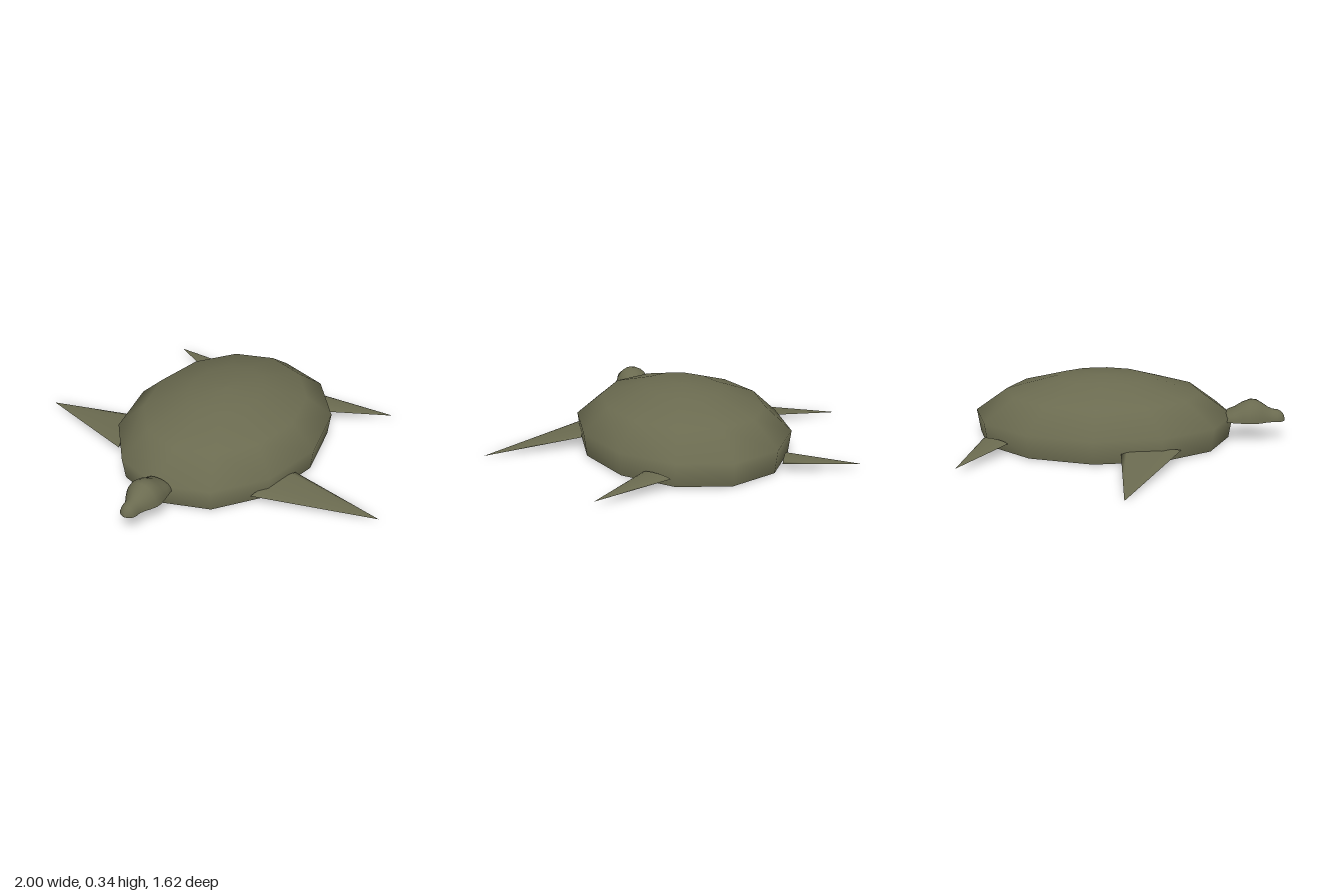
import * as THREE from 'three';

const V = (x, y, z) => new THREE.Vector3(x, y, z);

// Skin a list of equal-length rings; optional fan cap over the first ring
function loft(rings, cap) {
  const n = rings[0].length;
  const pts = rings.flat();
  const idx = [];
  for (let i = 0; i < rings.length - 1; i++) {
    for (let j = 0; j < n - 1; j++) {
      const a = i * n + j, b = a + 1, c = a + n, d = c + 1;
      idx.push(a, c, b, b, c, d);
    }
  }
  if (cap) {
    const start = pts.length;
    pts.push(cap, ...rings[0]);
    for (let j = 1; j < n; j++) idx.push(start, start + j, start + j + 1);
  }
  const g = new THREE.BufferGeometry().setFromPoints(pts);
  g.setIndex(idx);
  g.computeVertexNormals();
  return g;
}

// Thin tapering flipper with a lens-shaped root, side = 1 or -1
function flipper(front, rear, tip, thick, side) {
  const mid = front.clone().add(rear).multiplyScalar(0.5);
  const half = front.clone().sub(mid);
  const rings = [0, 0.5, 0.995].map((t) => {
    const ring = [];
    for (let j = 0; j <= 10; j++) {
      const a = side * j / 10 * Math.PI * 2;
      const p = mid.clone().addScaledVector(half, Math.cos(a));
      p.y += thick * Math.sin(a);
      p.lerp(tip, t);
      p.x *= side;
      ring.push(p);
    }
    return ring;
  });
  return loft(rings, V(mid.x * side, mid.y, mid.z));
}

export function createModel() {
  const group = new THREE.Group();
  const olive = new THREE.MeshStandardMaterial({ color: 0x6b6b50, side: THREE.DoubleSide });
  olive.name = 'olive';
  const add = (name, geometry) => {
    const mesh = new THREE.Mesh(geometry, olive);
    mesh.name = name;
    group.add(mesh);
  };

  // Hollow twelve-sided shell, open underneath
  const profile = [[0.97, 0.01], [1, 0.13], [0.755, 0.25], [0.36, 0.325], [0.1, 0.341], [0, 0.343]]
    .map(([r, y]) => new THREE.Vector2(r, y));
  const shell = new THREE.LatheGeometry(profile, 12);
  shell.scale(0.53, 1, 0.675);
  shell.translate(0, 0, -0.135);
  add('shell', shell);

  // Head: half-round sections [z, half width, height] on a flat underside
  const base = 0.11;
  const sections = [
    [0.5, 0.065, 0.035], [0.515, 0.08, 0.05], [0.55, 0.086, 0.066], [0.59, 0.091, 0.092],
    [0.63, 0.095, 0.108], [0.66, 0.09, 0.105], [0.69, 0.075, 0.088], [0.72, 0.057, 0.068],
    [0.745, 0.047, 0.058], [0.77, 0.045, 0.055], [0.79, 0.038, 0.046], [0.803, 0.023, 0.03],
    [0.81, 0.002, 0.003],
  ];
  const dome = sections.map(([z, w, h]) => Array.from({ length: 13 }, (_, j) => {
    const a = j / 12 * Math.PI;
    return V(-w * Math.cos(a), base + h * Math.sin(a), z);
  }));
  add('head', loft(dome, V(0, base, 0.5)));
  add('headUnderside', loft(sections.map(([z, w]) => [V(w, base, z), V(-w, base, z)])));

  // Front and rear flippers, mirrored
  for (const side of [1, -1]) {
    const label = side > 0 ? 'left' : 'right';
    add(label + 'FrontFlipper',
      flipper(V(0.4, 0.058, 0.29), V(0.5, 0.062, 0), V(1, 0.005, 0.06), 0.012, side));
    add(label + 'RearFlipper',
      flipper(V(0.375, 0.06, -0.58), V(0.29, 0.06, -0.72), V(0.685, 0.028, -0.78), 0.012, side));
  }

  // Rest the lowest point on the ground
  const box = new THREE.Box3().setFromObject(group);
  group.children.forEach((m) => m.geometry.translate(0, -box.min.y, 0));
  return group;
}
